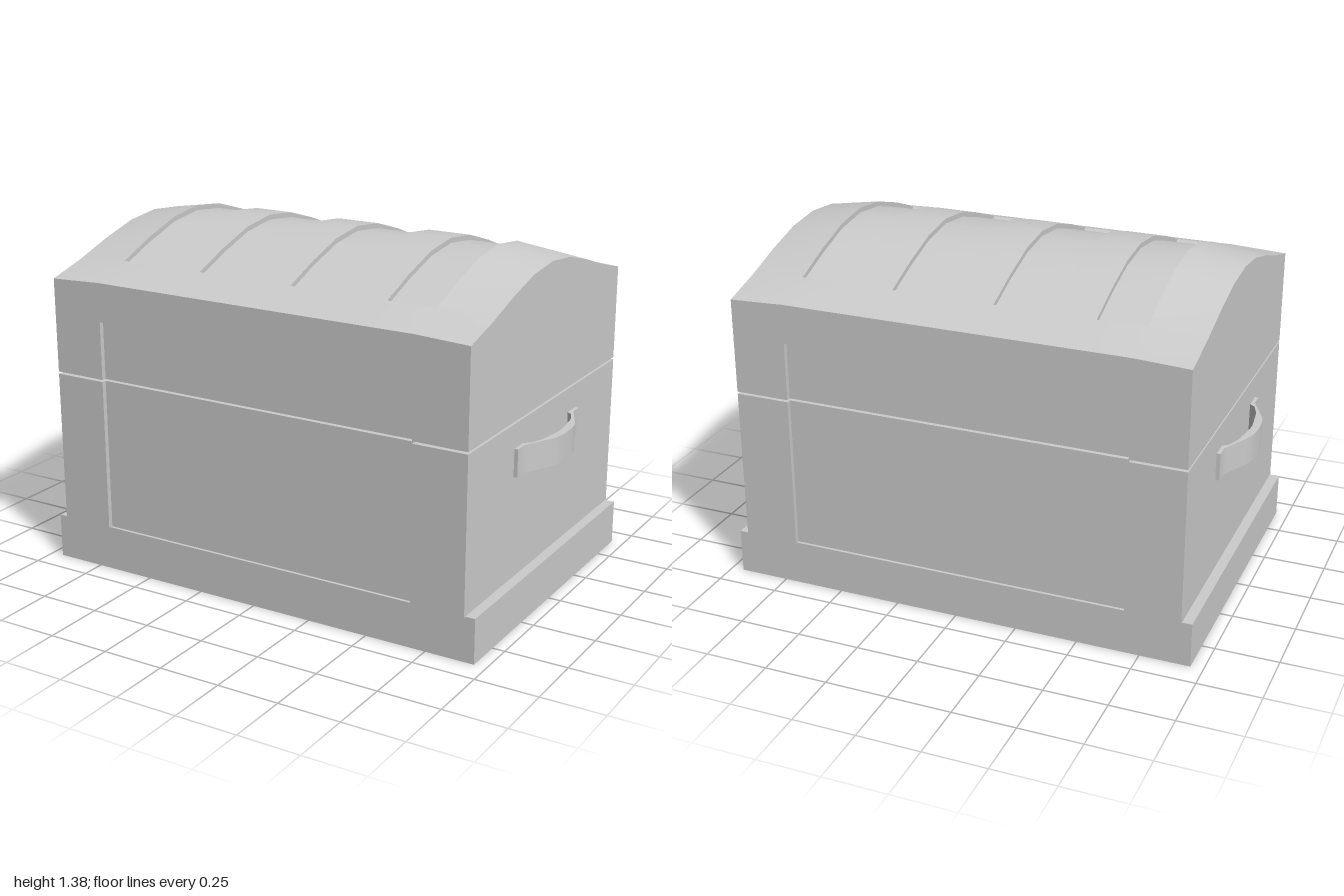
import * as THREE from 'three';
import { toCreasedNormals } from 'three/addons/utils/BufferGeometryUtils.js';

const PANEL_X = 0.69, END_X = 0.91, DEPTH = 0.02, FRONT_Z = 0.66;

// Skins closed, front/back symmetric sections along x and caps both ends.
// Each row is { x, half }, half being [z, y] points from the front bottom to the middle.
function loft(rows) {
  const loops = rows.map(({ x, half }) => {
    const back = half.slice().reverse().map(([z, y]) => [-z, y]);
    return [...half, ...back].map(([z, y]) => new THREE.Vector3(x, y, z));
  });
  const pos = [];
  const tri = (a, b, c) => {
    if (new THREE.Triangle(a, b, c).getArea() > 1e-7) for (const p of [a, b, c]) pos.push(p.x, p.y, p.z);
  };
  const quad = (a, b, c, d) => { tri(a, b, c); tri(a, c, d); };
  const n = loops[0].length;
  for (let i = 0; i < loops.length - 1; i++) {
    const A = loops[i], B = loops[i + 1];
    for (let j = 0; j < n; j++) {
      const k = (j + 1) % n;
      quad(A[j], B[j], B[k], A[k]);
    }
  }
  const L = loops[0], R = loops[loops.length - 1];
  for (let j = 0; j < n / 2 - 1; j++) {
    quad(R[j], R[n - 1 - j], R[n - 2 - j], R[j + 1]);
    quad(L[n - 1 - j], L[j], L[j + 1], L[n - 2 - j]);
  }
  const g = new THREE.BufferGeometry();
  g.setAttribute('position', new THREE.Float32BufferAttribute(pos, 3));
  return toCreasedNormals(g, 0.45);
}

// Lid section: optional sunken front panel and sunken channel over the top
function lidHalf(panel, channel, drop = 1) {
  const pz = FRONT_Z - (panel ? DEPTH : 0);
  const d = channel ? DEPTH : 0;
  const arch = [
    [FRONT_Z, 1.197], [0.49, 1.25], [0.475, 1.256 - d],
    [0.33, 1.312 - d], [0.16, 1.365 - d], [0, 1.384 - d],
  ].map(([z, y]) => [z, drop === 1 ? y : 1.187 + (y - 1.197) * drop]);
  return [[pz, 0.806], [pz, 1.04], [FRONT_Z, 1.04], ...arch];
}

function bodyHalf(panel) {
  const z = FRONT_Z - (panel ? DEPTH : 0);
  return [[z, 0.178], [z, 0.797], [0, 0.797]];
}

// Curved strap handle with flat feet, standing out toward +x
function handleGeometry() {
  const arc = (x, z) => new THREE.SplineCurve([
    [0.925, -z], [0.962, -z * 0.66], [x - 0.008, -z * 0.36], [x, 0],
    [x - 0.008, z * 0.36], [0.962, z * 0.66], [0.925, z],
  ].map(([px, pz], i) => new THREE.Vector2(i > 0 && i < 6 ? px - (1 - x) * 0.5 : px, pz))).getPoints(20);
  const outer = arc(1.0, 0.225);
  const inner = arc(0.98, 0.205).reverse();
  inner[0].x = inner[inner.length - 1].x = 0.91;
  const shape = new THREE.Shape([
    new THREE.Vector2(0.908, -0.28), new THREE.Vector2(0.925, -0.28),
    ...outer,
    new THREE.Vector2(0.925, 0.28), new THREE.Vector2(0.908, 0.28),
    ...inner,
  ]);
  const g = new THREE.ExtrudeGeometry(shape, { depth: 0.11, bevelEnabled: false });
  g.rotateX(-Math.PI / 2).translate(0, 0.59, 0);
  return toCreasedNormals(g, 0.5);
}

export function createModel() {
  const group = new THREE.Group();
  const material = new THREE.MeshStandardMaterial({ color: 0xcccccc });
  const add = (name, geometry) => {
    const mesh = new THREE.Mesh(geometry, material);
    mesh.name = name;
    group.add(mesh);
    return mesh;
  };

  // Plinth
  add('base', new THREE.BoxGeometry(1.9, 0.18, 1.304)).position.y = 0.09;

  // Body with a sunken panel front and back
  add('body', loft([
    [-END_X, false], [-PANEL_X, false], [-PANEL_X, true],
    [PANEL_X, true], [PANEL_X, false], [END_X, false],
  ].map(([x, panel]) => ({ x, half: bodyHalf(panel) }))));

  // Core closing the narrow seam under the lid
  add('seam', new THREE.BoxGeometry(1.78, 0.03, 1.24)).position.y = 0.8;

  // Arched lid with four sunken channels between ribs
  const rows = [
    { x: -END_X, half: lidHalf(false, false, 0.845) },
    { x: -PANEL_X, half: lidHalf(false, false) },
  ];
  const channels = [[-PANEL_X, -0.5], [-0.33, -0.1], [0.08, 0.31], [0.49, PANEL_X]];
  for (const [x0, x1] of channels) {
    rows.push(
      { x: x0, half: lidHalf(true, false) }, { x: x0, half: lidHalf(true, true) },
      { x: x1, half: lidHalf(true, true) }, { x: x1, half: lidHalf(true, false) },
    );
  }
  rows.push(
    { x: PANEL_X, half: lidHalf(false, false) },
    { x: END_X, half: lidHalf(false, false, 0.845) },
  );
  add('lid', loft(rows));

  // Side handles
  const handle = handleGeometry();
  add('leftHandle', handle);
  add('rightHandle', handle).rotation.y = Math.PI;

  return group;
}
